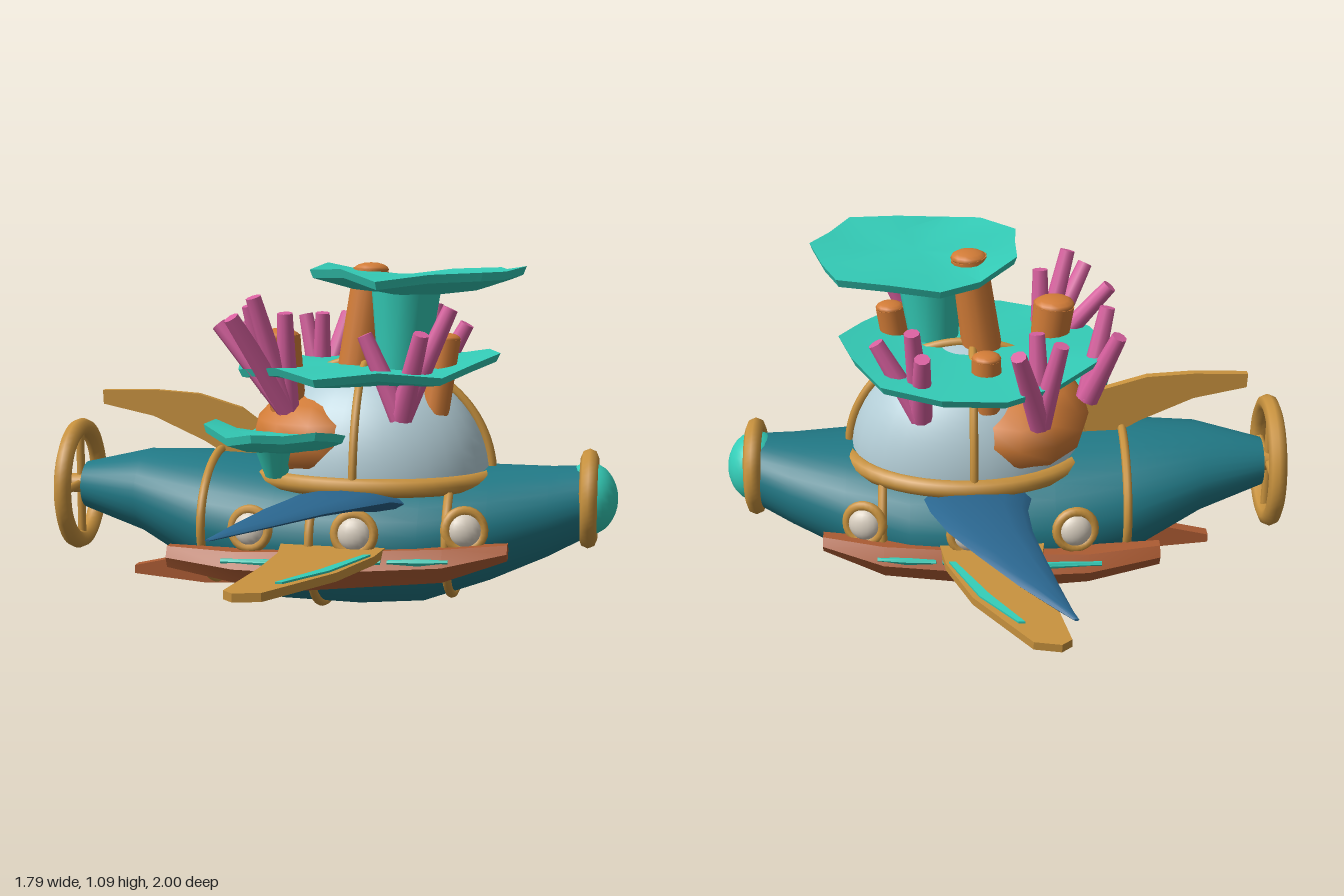
import * as THREE from 'three';
import { toCreasedNormals } from 'three/addons/utils/BufferGeometryUtils.js';

const V = (x, y, z) => new THREE.Vector3(x, y, z);
const mat = (name, color) => {
  const m = new THREE.MeshStandardMaterial({ color });
  m.name = name;
  return m;
};

// Skin through a list of equal-length rings, capped at both ends
function loft(rings, crease = 0.7) {
  const n = rings[0].length, pos = [], idx = [];
  rings.forEach(r => r.forEach(p => pos.push(p.x, p.y, p.z)));
  for (let i = 0; i < rings.length - 1; i++) for (let j = 0; j < n; j++) {
    const a = i * n + j, b = i * n + (j + 1) % n;
    idx.push(a, a + n, b, b, a + n, b + n);
  }
  [0, rings.length - 1].forEach((k, end) => {
    const c = rings[k].reduce((s, p) => s.add(p), V(0, 0, 0)).divideScalar(n);
    const ci = pos.length / 3;
    pos.push(c.x, c.y, c.z);
    for (let j = 0; j < n; j++) {
      const a = k * n + j, b = k * n + (j + 1) % n;
      idx.push(ci, end ? b : a, end ? a : b);
    }
  });
  const g = new THREE.BufferGeometry();
  g.setAttribute('position', new THREE.Float32BufferAttribute(pos, 3));
  g.setIndex(idx);
  return toCreasedNormals(g, crease);
}

// Ellipse ring standing across the x axis
const ringX = (x, cy, ry, cz, rz, n) => Array.from({ length: n }, (_, j) => {
  const a = j / n * Math.PI * 2;
  return V(x, cy + ry * Math.sin(a), cz + rz * Math.cos(a));
});

// Tube along an elliptical arc spanned by vectors u and v
function arcTube(c, u, v, r, arc = Math.PI * 2) {
  const closed = arc > 6, pts = [];
  for (let i = 0; i < (closed ? 32 : 25); i++) {
    const a = i / (closed ? 32 : 24) * arc;
    pts.push(c.clone().addScaledVector(u, Math.cos(a)).addScaledVector(v, Math.sin(a)));
  }
  return new THREE.TubeGeometry(new THREE.CatmullRomCurve3(pts, closed), 48, r, 8, closed);
}

// Tapered rod between two points
function rod(a, b, r0, r1, sides = 8) {
  const d = b.clone().sub(a), g = new THREE.CylinderGeometry(r1, r0, d.length(), sides);
  g.applyQuaternion(new THREE.Quaternion().setFromUnitVectors(V(0, 1, 0), d.normalize()));
  const m = a.clone().add(b).multiplyScalar(0.5);
  return g.translate(m.x, m.y, m.z);
}

function mirrorZ(geo) {
  const g = geo.clone();
  g.scale(1, 1, -1);
  const n = g.attributes.position.count;
  const idx = g.index ? Array.from(g.index.array) : Array.from({ length: n }, (_, i) => i);
  for (let i = 0; i < idx.length; i += 3) [idx[i + 1], idx[i + 2]] = [idx[i + 2], idx[i + 1]];
  g.setIndex(idx);
  return g;
}

const slab = (pts, depth) => new THREE.ExtrudeGeometry(
  new THREE.Shape(pts.map(p => new THREE.Vector2(...p))), { depth, bevelEnabled: false });

// Wavy, ragged coral table
function coralPlate(x, y, z, rx, rz, seed) {
  let s = seed;
  const rnd = () => (s = (s * 16807) % 2147483647) / 2147483647;
  const n = 14;
  const edge = Array.from({ length: n }, (_, j) => (j % 2 ? 0.86 : 0.96) + rnd() * 0.12);
  const wave = Array.from({ length: n }, () => (rnd() - 0.5) * 0.06);
  const profile = [[0.2, -0.05], [0.6, -0.035], [0.97, -0.005], [1, 0.02], [0.6, 0.012], [0.2, 0.01]];
  return loft(profile.map(([r, h]) => Array.from({ length: n }, (_, j) => {
    const a = j / n * Math.PI * 2, k = r * (r > 0.9 ? edge[j] : 1);
    return V(x + rx * k * Math.cos(a), y + h + wave[j] * r * r, z + rz * k * Math.sin(a));
  })), 0.3);
}

export function createModel() {
  const root = new THREE.Group();
  const hullTeal = mat('hullTeal', 0x217986), coralTeal = mat('coralTeal', 0x34cdb8);
  const brass = mat('brass', 0xc8923e), orange = mat('orangeCoral', 0xd27c37);
  const pink = mat('pinkCoral', 0xd8609f), rust = mat('rust', 0xad5c33);
  const blue = mat('wingBlue', 0x2b6790), glass = mat('domeGlass', 0xb4ced7);
  const cream = mat('portholeCream', 0xd9cfc0);
  const add = (name, geo, m) => {
    const mesh = new THREE.Mesh(geo, m);
    mesh.name = name;
    root.add(mesh);
  };
  const pair = (name, geo, m) => {
    add(name + 'Front', geo, m);
    add(name + 'Back', mirrorZ(geo), m);
  };

  // Hull: x, bottom, top, half width
  const hull = [[-0.83, 0.3, 0.45, 0.085], [-0.62, 0.232, 0.497, 0.19], [-0.38, 0.095, 0.5, 0.285],
    [-0.15, 0.035, 0.49, 0.335], [0.1, 0.03, 0.48, 0.35], [0.3, 0.045, 0.475, 0.335],
    [0.5, 0.115, 0.475, 0.265], [0.68, 0.195, 0.475, 0.18], [0.8, 0.26, 0.48, 0.125]];
  add('hull', loft(hull.map(([x, b, t, w]) => ringX(x, (b + t) / 2, (t - b) / 2, 0, w, 32))), hullTeal);
  const hullAt = x => {
    const i = hull.findIndex(h => h[0] > x), p = hull[i - 1], q = hull[i];
    return p.map((v, k) => v + (q[k] - v) * (x - p[0]) / (q[0] - p[0]));
  };
  [-0.375, -0.025, 0.385].forEach(x => {
    const [, b, t, w] = hullAt(x);
    add('hullBand', arcTube(V(x, (b + t) / 2, 0), V(0, (t - b) / 2 + 0.005, 0), V(0, 0, w + 0.005), 0.014), brass);
  });

  // Nose lamp and its ring
  add('noseRing', arcTube(V(0.8, 0.378, 0), V(0, 0.128, 0), V(0, 0, 0.128), 0.028), brass);
  add('noseLamp', new THREE.SphereGeometry(1, 24, 16).scale(0.09, 0.113, 0.113).translate(0.8, 0.378, 0), coralTeal);

  // Tail wheel with spokes and hub
  add('tailRing', arcTube(V(-0.855, 0.377, 0), V(0, 0.185, 0), V(0, 0, 0.185), 0.029), brass);
  add('tailSpokeUpright', rod(V(-0.855, 0.2, 0), V(-0.855, 0.555, 0), 0.014, 0.014), brass);
  add('tailSpokeLevel', rod(V(-0.855, 0.377, -0.18), V(-0.855, 0.377, 0.18), 0.014, 0.014), brass);
  add('tailHub', rod(V(-0.9, 0.377, 0), V(-0.81, 0.377, 0), 0.03, 0.035, 12), brass);

  // Tail fins
  add('upperTailFin', slab([[-0.2, 0.45], [-0.2, 0.56], [-0.31, 0.64], [-0.45, 0.682], [-0.6, 0.692], [-0.77, 0.688],
    [-0.768, 0.643], [-0.6, 0.607], [-0.43, 0.53], [-0.33, 0.47]], 0.026).translate(0, 0, -0.013), brass);
  add('lowerTailFin', slab([[-0.67, 0.085], [-0.43, 0.063], [-0.25, 0.07], [-0.28, 0.16], [-0.43, 0.165], [-0.67, 0.112]],
    0.04).translate(0, 0, -0.02), rust);

  // Long swept wings: z, trailing x, leading x, y, half thickness
  const wing = [[0.24, -0.08, 0.26, 0.385, 0.034], [0.4, -0.06, 0.235, 0.42, 0.03], [0.55, -0.068, 0.18, 0.432, 0.022],
    [0.7, -0.095, 0.09, 0.436, 0.016], [0.85, -0.13, -0.02, 0.428, 0.011], [0.96, -0.16, -0.12, 0.418, 0.006],
    [1, -0.175, -0.16, 0.413, 0.003]];
  pair('wing', loft(wing.map(([z, x0, x1, y, t]) => Array.from({ length: 12 }, (_, j) => {
    const a = j / 12 * Math.PI * 2;
    return V((x0 + x1) / 2 + (x1 - x0) / 2 * Math.cos(a), y - t * Math.sin(a), z);
  }))), blue);

  // Short fins below the wings, with a teal inlay
  const lay = (pts, depth, y) => slab(pts, depth).rotateX(Math.PI / 2).translate(0, y, 0).rotateX(0.065);
  pair('sideFin', lay([[-0.12, 0.26], [0.22, 0.26], [0.19, 0.42], [0.11, 0.6], [-0.06, 0.82], [-0.14, 0.835],
    [-0.17, 0.81], [-0.12, 0.58], [-0.1, 0.42]], 0.026, 0.291), brass);
  pair('sideFinInlay', lay([[0.16, 0.42], [0.18, 0.42], [0.09, 0.6], [-0.02, 0.73], [-0.04, 0.73], [0.06, 0.59]],
    0.008, 0.297), coralTeal);

  // Side keels: x, y, half height, z, half depth
  const keel = [[-0.475, 0.212, 0.038, 0.3, 0.035], [-0.25, 0.197, 0.055, 0.335, 0.062], [-0.03, 0.195, 0.068, 0.34, 0.066],
    [0.38, 0.222, 0.058, 0.32, 0.062], [0.57, 0.258, 0.028, 0.285, 0.035]];
  pair('sideKeel', loft(keel.map(k => ringX(...k, 6)), 0.4), rust);
  pair('keelInlayLong', loft([ringX(-0.29, 0.218, 0.008, 0.376, 0.008, 6), ringX(-0.03, 0.222, 0.014, 0.395, 0.008, 6),
    ringX(0.2, 0.234, 0.008, 0.383, 0.008, 6)]), coralTeal);
  pair('keelInlayShort', loft([ringX(0.22, 0.235, 0.006, 0.382, 0.008, 6), ringX(0.31, 0.236, 0.012, 0.378, 0.008, 6),
    ringX(0.4, 0.238, 0.006, 0.367, 0.008, 6)]), coralTeal);

  // Portholes
  [[-0.21, 0.31, 0.325, -0.15], [0.115, 0.31, 0.348, 0], [0.44, 0.32, 0.288, 0.3]].forEach(([x, y, z, yaw]) => {
    const place = g => g.rotateX(-0.15).rotateY(yaw).translate(x, y, z);
    pair('portholeRing', place(new THREE.TorusGeometry(0.058, 0.016, 8, 24)), brass);
    pair('portholeGlass', place(new THREE.SphereGeometry(0.052, 16, 12).scale(1, 1, 0.65)), cream);
  });

  // Dome with its collar and ribs
  const base = V(0.12, 0.44, 0);
  add('dome', new THREE.SphereGeometry(1, 32, 16, 0, Math.PI * 2, 0, Math.PI / 2).scale(0.37, 0.36, 0.29)
    .translate(0.12, 0.44, 0), glass);
  add('domeCollar', arcTube(base, V(0.375, 0, 0), V(0, 0, 0.295), 0.029), brass);
  add('domeRibLong', arcTube(base, V(0.378, 0, 0), V(0, 0.365, 0), 0.015, Math.PI), brass);
  add('domeRibAcross', arcTube(V(0.1, 0.44, 0), V(0, 0, 0.293), V(0, 0.362, 0), 0.013, Math.PI), brass);

  // Orange coral mound and columns
  add('coralMound', new THREE.SphereGeometry(1, 12, 8).scale(0.23, 0.16, 0.292).translate(-0.04, 0.56, 0), orange);
  [[V(0.06, 0.7, 0.01), V(0.11, 1.085, 0), 0.066, 0.056], [V(0.33, 0.65, 0.12), V(0.36, 0.88, 0.11), 0.042, 0.045],
    [V(-0.13, 0.64, 0.12), V(-0.16, 0.88, 0.12), 0.055, 0.066], [V(0.06, 0.66, -0.18), V(0.06, 0.83, -0.19), 0.05, 0.045]]
    .forEach(([a, b, r0, r1]) => {
      add('coralColumn', rod(a, b, r0, r1, 14), orange);
      add('coralColumnTip', new THREE.SphereGeometry(r1, 14, 8).scale(1, 0.4, 1).translate(b.x, b.y, b.z), orange);
    });

  // Coral tables and stalks
  add('topCoralTable', coralPlate(0.27, 1.065, 0.09, 0.345, 0.33, 71), coralTeal);
  add('middleCoralTable', coralPlate(0.1, 0.78, 0, 0.435, 0.415, 1234), coralTeal);
  add('smallCoralTable', coralPlate(-0.135, 0.585, 0.24, 0.225, 0.175, 977), coralTeal);
  add('topTableStalk', rod(V(0.22, 0.72, 0.09), V(0.235, 1.05, 0.1), 0.07, 0.11, 12), coralTeal);
  add('smallTableStalk', rod(V(-0.15, 0.46, 0.22), V(-0.15, 0.57, 0.24), 0.035, 0.07, 12), coralTeal);

  // Pink branching coral: base followed by branch tips
  [[[-0.12, 0.66, 0.18], [-0.34, 0.92, 0.17], [-0.21, 1.01, 0.26], [-0.12, 0.96, 0.22], [-0.27, 0.95, 0.3]],
    [[-0.1, 0.65, -0.28], [-0.03, 0.92, -0.39], [-0.16, 0.92, -0.31], [-0.09, 0.93, -0.24]],
    [[-0.25, 0.68, -0.16], [-0.34, 0.9, -0.2], [-0.31, 0.96, -0.11]],
    [[0.26, 0.66, -0.24], [0.39, 0.9, -0.23], [0.28, 0.96, -0.3], [0.25, 0.89, -0.33]],
    [[0.24, 0.65, 0.24], [0.13, 0.9, 0.25], [0.385, 0.98, 0.22], [0.31, 0.91, 0.32]]].forEach(([b, ...tips]) =>
    tips.forEach(t => add('coralBranch', rod(V(...b), V(...t), 0.036, 0.024, 9), pink)));

  return root;
}
